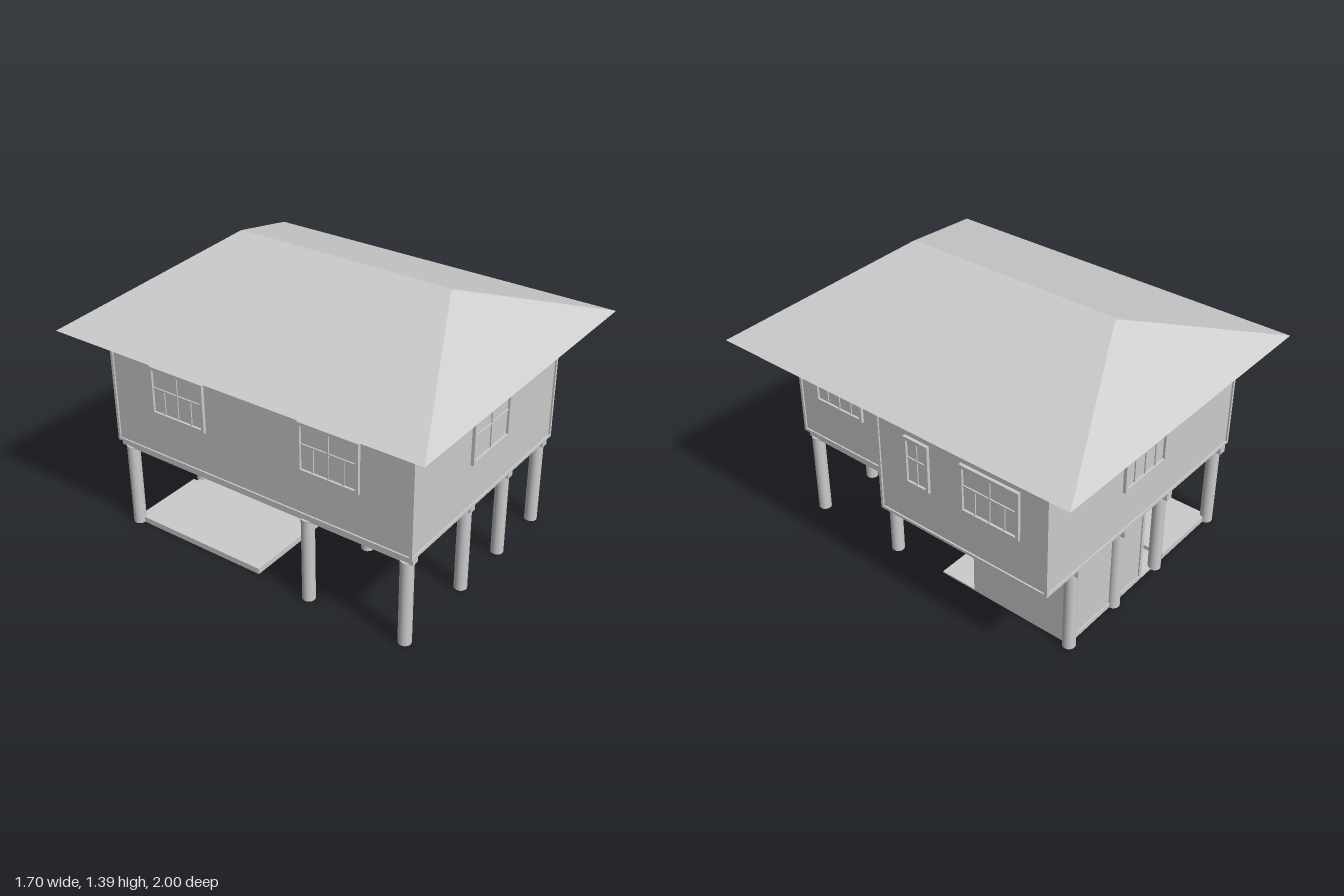
import * as THREE from 'three';
import { ConvexGeometry } from 'three/addons/geometries/ConvexGeometry.js';

const mat = new THREE.MeshStandardMaterial({ color: 0xcccccc });

// Box given by its limits on each axis
function box(parent, name, x0, x1, y0, y1, z0, z1) {
  const m = new THREE.Mesh(new THREE.BoxGeometry(x1 - x0, y1 - y0, z1 - z0), mat);
  m.position.set((x0 + x1) / 2, (y0 + y1) / 2, (z0 + z1) / 2);
  m.name = name;
  parent.add(m);
  return m;
}

// Rectangular frame around the origin, standing out towards +z
function frame(name, w, h, t, depth) {
  const s = new THREE.Shape([[-w, -h], [w, -h], [w, h], [-w, h]]
    .map(([x, y]) => new THREE.Vector2(x / 2, y / 2)));
  const a = w / 2 - t, b = h / 2 - t;
  s.holes.push(new THREE.Path([[-a, -b], [-a, b], [a, b], [a, -b]]
    .map(([x, y]) => new THREE.Vector2(x, y))));
  const m = new THREE.Mesh(new THREE.ExtrudeGeometry(s, { depth, bevelEnabled: false }), mat);
  m.name = name;
  return m;
}

// Framed window with glazing bars, facing +z
function windowUnit(w, h, columns) {
  const g = new THREE.Group();
  g.name = 'window';
  g.add(frame('windowFrame', w, h, 0.016, 0.016));
  box(g, 'glass', -w / 2 + 0.01, w / 2 - 0.01, -h / 2 + 0.01, h / 2 - 0.01, 0, 0.004);
  const bar = 0.004, split = h * 0.06;
  box(g, 'crossBar', -w / 2 + 0.01, w / 2 - 0.01, split - bar, split + bar, 0, 0.011);
  for (let i = 1; i < columns; i++) {
    const x = -w / 2 + (w * i) / columns;
    const top = i * 2 === columns ? h / 2 - 0.01 : split;
    box(g, 'uprightBar', x - bar, x + bar, -h / 2 + 0.01, top, 0, 0.01);
  }
  return g;
}

// Put a flat part on a wall; a0..a1 runs along x (front, back) or z (sides)
const turn = { front: 0, back: Math.PI, plusX: Math.PI / 2, minusX: -Math.PI / 2 };
function mount(parent, part, side, wall, a0, a1, y0, y1) {
  const a = (a0 + a1) / 2, y = (y0 + y1) / 2;
  if (side === 'front' || side === 'back') part.position.set(a, y, wall);
  else part.position.set(wall, y, a);
  part.rotation.y = turn[side];
  parent.add(part);
}

export function createModel() {
  const house = new THREE.Group();
  house.name = 'stiltHouse';

  // Hipped roof with a flat underside
  const pts = [];
  for (const sx of [-1, 1]) for (const sz of [-1, 1]) {
    pts.push(new THREE.Vector3(sx * 0.85, 1.08, sz), new THREE.Vector3(sx * 0.015, 1.39, sz * 0.595));
  }
  const roof = new THREE.Mesh(new ConvexGeometry(pts), mat);
  roof.name = 'roof';
  house.add(roof);

  // Upper floor and its side wing
  const upper = new THREE.Group();
  upper.name = 'upperFloor';
  house.add(upper);
  box(upper, 'mainWalls', -0.682, 0.552, 0.48, 1.079, -0.822, 0.852);
  box(upper, 'wingWalls', 0.5, 0.752, 0.48, 1.079, -0.822, 0.122);

  // Raised trim around every wall
  const d = 0.008;
  const trims = [
    ['front', 0.852, -0.69, 0.56], ['back', -0.822, -0.69, 0.76],
    ['minusX', -0.682, -0.83, 0.86], ['plusX', 0.552, 0.13, 0.86],
    ['plusX', 0.752, -0.83, 0.13], ['front', 0.122, 0.56, 0.76],
  ];
  for (const [side, wall, a0, a1] of trims) {
    mount(upper, frame('wallTrim', a1 - a0, 0.598, 0.014, d), side, wall, a0, a1, 0.48, 1.078);
  }

  // Windows: side, wall position, range along the wall, height range, columns
  const windows = [
    ['front', 0.852, -0.22, 0.1, 0.71, 0.96, 2],
    ['back', -0.822, -0.1, 0.22, 0.71, 0.96, 4],
    ['plusX', 0.552, 0.43, 0.74, 0.71, 0.96, 4],
    ['plusX', 0.552, 0.2, 0.37, 0.87, 1.0, 2],
    ['plusX', 0.752, -0.18, -0.04, 0.71, 0.96, 2],
    ['plusX', 0.752, -0.68, -0.36, 0.71, 0.96, 4],
    ['minusX', -0.682, -0.58, -0.26, 0.71, 0.96, 4],
    ['minusX', -0.682, 0.27, 0.59, 0.71, 0.96, 4],
  ];
  for (const [side, wall, a0, a1, y0, y1, n] of windows) {
    mount(upper, windowUnit(a1 - a0, y1 - y0, n), side, wall, a0, a1, y0, y1);
  }

  // Floor beams on rows of round posts
  const post = new THREE.CylinderGeometry(0.032, 0.032, 0.445, 24);
  for (const x of [-0.645, -0.17, 0.175, 0.52]) {
    box(house, 'floorBeam', x - 0.02, x + 0.02, 0.44, 0.481, -0.83, 0.85);
    for (const z of [0.81, 0.285, -0.78]) {
      const p = new THREE.Mesh(post, mat);
      p.position.set(x, 0.2225, z);
      p.name = 'post';
      house.add(p);
    }
  }

  // Ground slab and raised patio
  box(house, 'groundSlab', -0.645, 0.52, 0, 0.008, -0.78, -0.015);
  box(house, 'patio', -0.645, -0.24, 0, 0.03, -0.78, -0.012);

  // Ground floor room, open on one side for the stairs
  const room = new THREE.Group();
  room.name = 'groundRoom';
  house.add(room);
  const t = 0.016;
  box(room, 'frontWall', -0.055, 0.52, 0.004, 0.48, -0.222 - t, -0.222);
  box(room, 'backWall', -0.055, 0.52, 0.004, 0.48, -0.775, -0.775 + t);
  box(room, 'outerWall', 0.52 - t, 0.52, 0.004, 0.48, -0.775, -0.222);
  box(room, 'stairSideWall', -0.055, -0.055 + t, 0.004, 0.48, -0.775, -0.64);
  box(room, 'stairSideWall', -0.055, -0.055 + t, 0.004, 0.48, -0.36, -0.222);
  mount(room, frame('roomTrim', 0.575, 0.472, 0.02, 0.007), 'front', -0.222, -0.055, 0.52, 0.008, 0.48);
  mount(room, frame('roomTrim', 0.575, 0.472, 0.02, 0.007), 'back', -0.775, -0.055, 0.52, 0.008, 0.48);

  // Stairs climbing to the upper floor
  const stairs = new THREE.Group();
  stairs.name = 'stairs';
  house.add(stairs);
  for (let i = 0; i < 15; i++) {
    const x = -0.13 + i * 0.036, top = 0.032 * (i + 1);
    box(stairs, 'step', x, x + 0.036, Math.max(0.004, top - 0.07), top, -0.62, -0.38);
  }
  return house;
}
